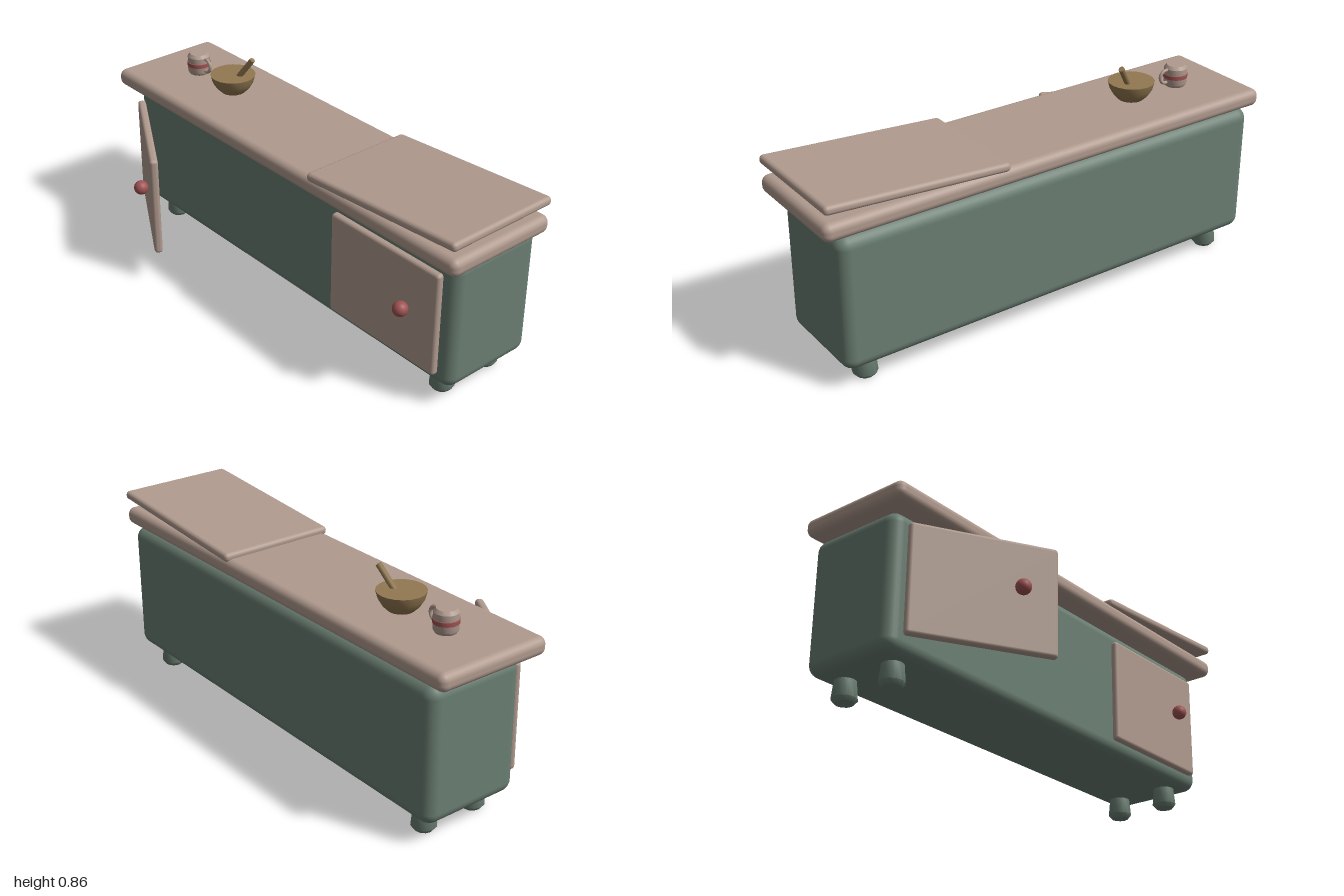
import * as THREE from 'three';
import { RoundedBoxGeometry } from 'three/addons/geometries/RoundedBoxGeometry.js';
import { toCreasedNormals } from 'three/addons/utils/BufferGeometryUtils.js';

const material = (name, color) => {
  const m = new THREE.MeshStandardMaterial({ color });
  m.name = name;
  return m;
};

export function createModel() {
  const green = material('sage green', 0x6a7e72);
  const tan = material('warm tan', 0xb09a8e);
  const red = material('muted red', 0x9e5252);
  const brown = material('wood brown', 0x917850);
  const model = new THREE.Group();
  model.name = 'sideboard';

  const add = (parent, name, geometry, mat, x = 0, y = 0, z = 0) => {
    const mesh = new THREE.Mesh(geometry, mat);
    mesh.name = name;
    mesh.position.set(x, y, z);
    parent.add(mesh);
    return mesh;
  };
  const group = (name, x, y, z) => {
    const g = new THREE.Group();
    g.name = name;
    g.position.set(x, y, z);
    model.add(g);
    return g;
  };
  // turned shape from [radius, height] pairs, listed bottom to top
  const turned = (points, sides, crease = 0.6) => toCreasedNormals(
    new THREE.LatheGeometry(points.map(([r, y]) => new THREE.Vector2(r, y)), sides), crease);

  // cabinet body and worktop
  add(model, 'body', new RoundedBoxGeometry(1.9, 0.545, 0.42, 4, 0.048), green, 0, 0.3575, -0.155);
  add(model, 'worktop', new RoundedBoxGeometry(2, 0.072, 0.49, 4, 0.03), tan, 0, 0.665, -0.12);

  // tilted lid resting on the worktop
  const lid = add(model, 'lid', new RoundedBoxGeometry(0.758, 0.036, 0.496, 3, 0.016), tan, 0.617, 0.732, -0.119);
  lid.rotation.z = 0.069;

  // feet
  const footShape = turned([[0, 0], [0.036, 0], [0.049, 0.016], [0.041, 0.095], [0, 0.095]], 12, 0.9);
  for (const x of [-0.83, 0.83])
    for (const z of [-0.04, -0.273]) add(model, 'foot', footShape, green, x, 0, z);

  // doors, each with a round knob; one swings open
  const doorShape = new RoundedBoxGeometry(0.56, 0.436, 0.034, 3, 0.014);
  const knobShape = new THREE.SphereGeometry(0.03, 20, 14);
  const makeDoor = (name, x, z, swing) => {
    const door = group(name, x, 0.357, z);
    add(door, 'doorPanel', doorShape, tan);
    add(door, 'knob', knobShape, red, 0.133, 0.02, 0.048);
    door.rotation.y = swing;
  };
  makeDoor('closedDoor', 0.61, 0.065, 0);
  makeDoor('openDoor', -0.66, 0.217, -Math.PI / 6);

  // mug with band and handle
  const mug = group('mug', -0.75, 0.7, -0.125);
  add(mug, 'mugBody', turned([[0, 0], [0.04, 0], [0.047, 0.012], [0.047, 0.078], [0.037, 0.091], [0, 0.091]], 20), tan);
  add(mug, 'mugBand', turned([[0.046, 0.036], [0.0495, 0.037], [0.0495, 0.053], [0.046, 0.054]], 20), red);
  add(mug, 'mugHandle', new THREE.TorusGeometry(0.027, 0.007, 8, 20), tan, 0.053, 0.048, 0);

  // filled bowl with a stirring stick
  const bowl = group('bowl', -0.515, 0.7, -0.125);
  add(bowl, 'bowlBody', turned([[0, 0], [0.05, 0], [0.07, 0.02], [0.086, 0.046], [0.094, 0.076], [0, 0.076]], 20), brown);
  const start = new THREE.Vector3(0.012, 0.05, -0.005);
  const end = new THREE.Vector3(0.085, 0.157, -0.037);
  const along = end.clone().sub(start);
  const stick = add(bowl, 'stick', new THREE.CylinderGeometry(0.012, 0.012, along.length(), 10), brown);
  stick.position.copy(start).add(end).multiplyScalar(0.5);
  stick.quaternion.setFromUnitVectors(new THREE.Vector3(0, 1, 0), along.normalize());

  return model;
}
